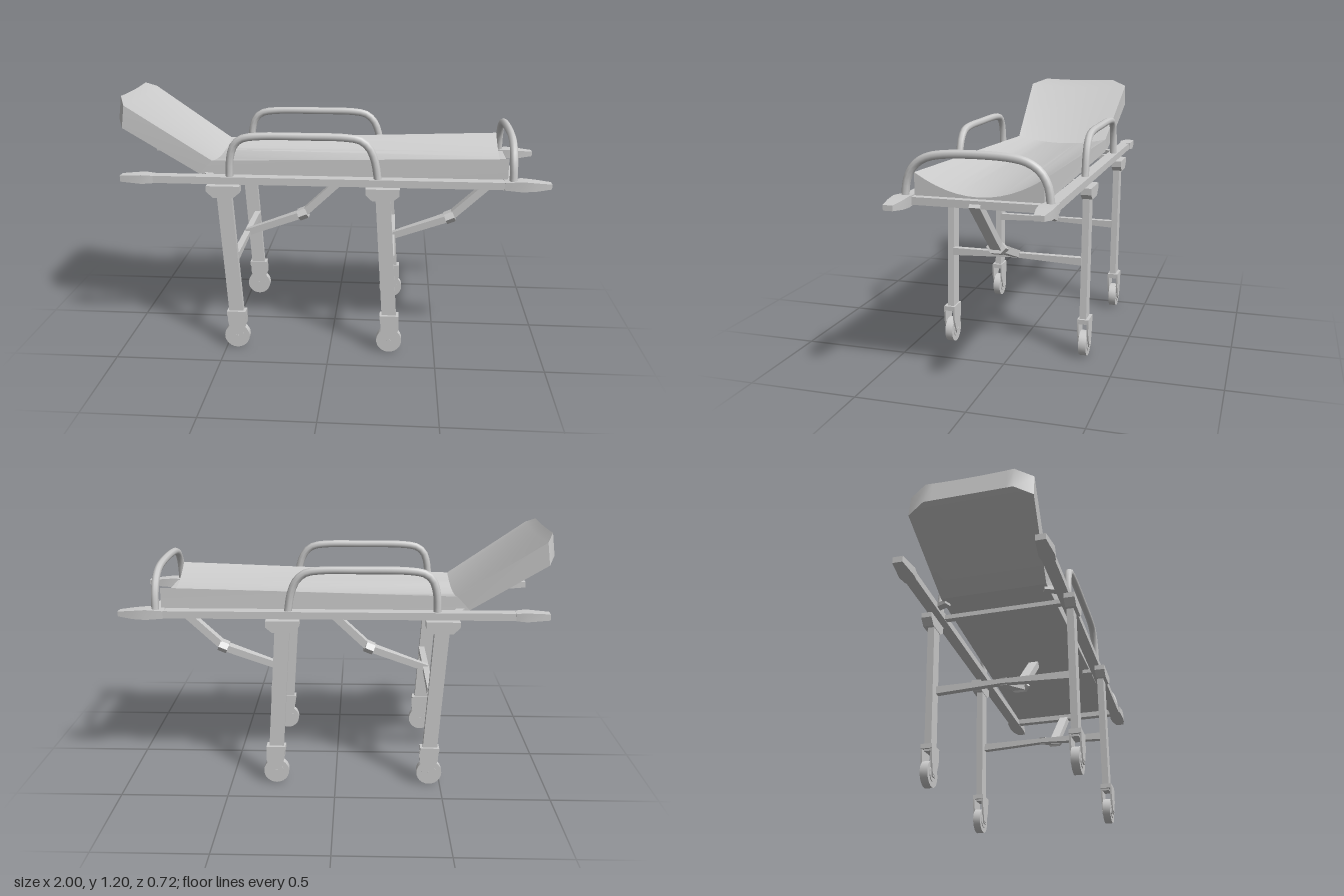
import * as THREE from 'three';
import { toCreasedNormals } from 'three/addons/utils/BufferGeometryUtils.js';

const grey = new THREE.MeshStandardMaterial({ color: 0xcccccc });

export function createModel() {
  const root = new THREE.Group();

  const add = (name, geo, x = 0, y = 0, z = 0, crease = 0.6) => {
    const m = new THREE.Mesh(toCreasedNormals(geo, crease), grey);
    m.name = name;
    m.position.set(x, y, z);
    root.add(m);
    return m;
  };
  const box = (name, w, h, d, x, y, z) => add(name, new THREE.BoxGeometry(w, h, d), x, y, z);

  // Straight bar in a plane of constant z; the start can be narrowed across z
  const beam = (name, [x0, y0], [x1, y1], thick, depth, z, taper = 1) => {
    const geo = new THREE.BoxGeometry(Math.hypot(x1 - x0, y1 - y0), thick, depth);
    const p = geo.attributes.position;
    for (let i = 0; i < p.count; i++) if (p.getX(i) < 0) p.setZ(i, p.getZ(i) * taper);
    geo.rotateZ(Math.atan2(y1 - y0, x1 - x0));
    return add(name, geo, (x0 + x1) / 2, (y0 + y1) / 2, z);
  };

  // Solid through sections ordered along +x: each has a top edge, a bottom edge,
  // a half width and a sag of the top towards the middle
  const loft = (name, sections, n, z = 0) => {
    const pos = [], idx = [], ring = 2 * n;
    for (const { top, bottom, w, wb = w, sag = 0 } of sections) {
      for (let j = 0; j < ring; j++) {
        const isTop = j < n;
        const t = 1 - 2 * (isTop ? j : ring - 1 - j) / (n - 1);
        const drop = isTop ? sag * (1 - t * t) : 0;
        const [x, y] = isTop ? top : bottom;
        pos.push(x, y - drop, t * (isTop ? w : wb));
      }
    }
    const quad = (a, b, c, d) => idx.push(a, b, c, a, c, d);
    for (let i = 0; i < sections.length - 1; i++) {
      for (let j = 0; j < ring; j++) {
        const k = (j + 1) % ring, a = i * ring, b = a + ring;
        quad(a + j, b + j, b + k, a + k);
      }
    }
    const e = (sections.length - 1) * ring;
    for (let j = 0; j < n - 1; j++) {
      const b = ring - 1 - j;
      quad(j, j + 1, b - 1, b);
      quad(e + b, e + b - 1, e + j + 1, e + j);
    }
    const geo = new THREE.BufferGeometry();
    geo.setAttribute('position', new THREE.Float32BufferAttribute(pos, 3));
    geo.setIndex(idx);
    return add(name, geo, 0, 0, z);
  };

  const hoop = (name, pts) => {
    const path = new THREE.CatmullRomCurve3(pts.map(p => new THREE.Vector3(...p)), false, 'centripetal');
    return add(name, new THREE.TubeGeometry(path, 32, 0.018, 8), 0, 0, 0, 1);
  };

  const extrude = (name, pts, depth, x, y, z) => {
    const shape = new THREE.Shape(pts.map(p => new THREE.Vector2(...p)));
    const geo = new THREE.ExtrudeGeometry(shape, { depth, bevelEnabled: false });
    geo.translate(0, 0, -depth / 2);
    return add(name, geo, x, y, z);
  };

  // Dished mattress and raised backrest
  loft('mattress', [
    { top: [-0.56, 0.905], bottom: [-0.62, 0.84], w: 0.247, sag: 0.03 },
    { top: [0.81, 0.945], bottom: [0.81, 0.843], w: 0.278, sag: 0.09 },
  ], 13);
  loft('backrest', [
    { top: [-0.985, 1.195], bottom: [-1, 1.09], w: 0.2, sag: 0.005 },
    { top: [-0.95, 1.165], bottom: [-0.965, 1.06], w: 0.28, sag: 0.012 },
    { top: [-0.56, 0.905], bottom: [-0.62, 0.84], w: 0.247, sag: 0.03 },
  ], 13);

  // Cross members of the bed frame
  box('footCrossbar', 0.035, 0.033, 0.58, 0.83, 0.832, 0);
  box('headCrossbar', 0.03, 0.022, 0.6, -0.465, 0.828, 0);

  for (const s of [1, -1]) {
    const side = s > 0 ? 'front' : 'back';

    // Long rail with a tapered handle at each end
    box(side + 'Rail', 1.74, 0.034, 0.054, -0.01, 0.832, 0.307 * s);
    const grip = (x, w, lo, hi) => ({ top: [x, hi], bottom: [x, lo], w });
    loft(side + 'FootHandle', [
      grip(0.79, 0.03, 0.815, 0.85), grip(0.87, 0.036, 0.81, 0.857),
      grip(0.93, 0.033, 0.813, 0.852), grip(1, 0.021, 0.822, 0.845),
    ], 2, 0.31 * s);
    loft(side + 'HeadHandle', [
      grip(-0.975, 0.023, 0.818, 0.847), grip(-0.87, 0.035, 0.812, 0.854),
      grip(-0.82, 0.028, 0.815, 0.85),
    ], 2, 0.31 * s);

    // Guard hoop and the short stubs beside the mattress
    hoop(side + 'GuardHoop', [
      [-0.465, 0.84], [-0.46, 0.93], [-0.44, 0.995], [-0.405, 1.025], [-0.34, 1.037], [-0.1, 1.04],
      [0.08, 1.037], [0.14, 1.025], [0.18, 0.99], [0.205, 0.93], [0.22, 0.84],
    ].map(([x, y]) => [x, y, 0.31 * s]));
    box(side + 'FrameStub', 0.03, 0.02, 0.07, 0.265, 0.83, 0.265 * s);
    box(side + 'HingeStub', 0.035, 0.02, 0.07, -0.57, 0.838, 0.26 * s).rotation.y = 0.4 * s;
  }

  // Hoop across the foot end
  const half = [[0.84, 0.312], [0.92, 0.3], [0.975, 0.27], [1.01, 0.22], [1.028, 0.14]];
  hoop('footHoop', [
    ...half.map(([y, z]) => [0.83, y, z]),
    ...half.slice().reverse().map(([y, z]) => [0.83, y, -z]),
  ]);

  // Two leg frames, each with brackets, casters and a folding brace
  for (const [label, x] of [['head', 0], ['foot', 0.732]]) {
    for (const s of [1, -1]) {
      const name = label + (s > 0 ? 'Front' : 'Back'), z = 0.333 * s, cx = -0.448 + x;
      extrude(name + 'Bracket', [
        [-0.08, 0.03], [-0.08, 0.005], [-0.05, -0.025], [0.045, -0.025], [0.075, 0], [0.075, 0.03],
      ], 0.05, -0.487 + x, 0.783, 0.337 * s);
      beam(name + 'Leg', [-0.448 + x, 0.16], [-0.489 + x, 0.8], 0.068, 0.032, 0.33 * s);

      // Caster: fork block, two fork plates, wheel and axle
      box(name + 'ForkTop', 0.09, 0.022, 0.054, cx, 0.178, z);
      for (const d of [-0.023, 0.023]) {
        extrude(name + 'ForkPlate', [
          [-0.043, 0.188], [-0.04, 0.13], [-0.014, 0.045], [0.016, 0.045], [0.046, 0.12], [0.045, 0.188],
        ], 0.008, cx, 0, z + d);
      }
      const disc = (part, r, h) => add(name + part,
        new THREE.CylinderGeometry(r, r, h, 24).rotateX(Math.PI / 2), cx, 0.06, z);
      disc('Wheel', 0.06, 0.036);
      disc('WheelHub', 0.035, 0.042);
      disc('Axle', 0.01, 0.058);
    }

    // Bar between the legs, sagging a little in the middle
    const bar = new THREE.BoxGeometry(0.03, 0.036, 0.636, 1, 1, 2);
    const p = bar.attributes.position;
    for (let i = 0; i < p.count; i++) {
      if (p.getY(i) < 0 && Math.abs(p.getZ(i)) < 0.01) p.setY(i, p.getY(i) + 0.014);
    }
    add(label + 'LegCrossbar', bar, -0.445 + x, 0.462, 0);

    // Folding brace
    beam(label + 'LowerBrace', [-0.45 + x, 0.47], [-0.16 + x, 0.577], 0.034, 0.06, 0, 0.5);
    beam(label + 'UpperBrace', [-0.16 + x, 0.577], [0.115 + x, 0.835], 0.036, 0.048, 0);
    const joint = new THREE.CylinderGeometry(0.046, 0.046, 0.045, 6).rotateZ(Math.PI / 2);
    joint.scale(1, 0.65, 1);
    add(label + 'BraceJoint', joint, -0.16 + x, 0.577, 0).rotation.z = 0.4;
  }

  return root;
}
